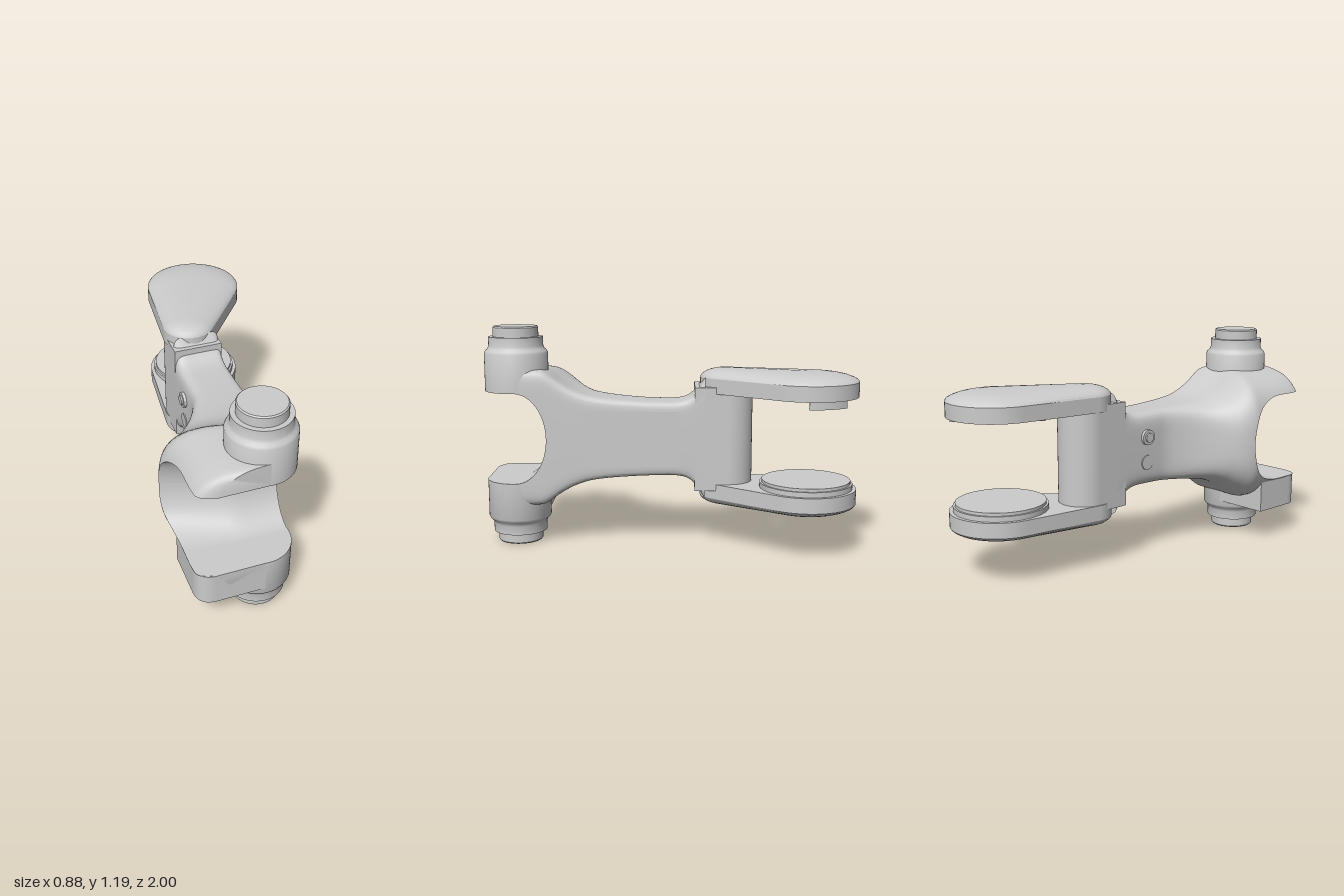
import * as THREE from 'three';
import { toCreasedNormals } from 'three/addons/utils/BufferGeometryUtils.js';

const MID = 0.6; // height of the symmetry plane
const grey = new THREE.MeshStandardMaterial({ color: 0xcccccc });
const BIG = { x: 0.17, z: -0.735, r: 0.265 };
const SMALL = { x: 0, z: -0.315, r: 0.14 };
const PIVOT = { x: -0.035, z: 0.825 };

function part(name, geo, crease = 0.6) {
  const mesh = new THREE.Mesh(toCreasedNormals(geo, crease), grey);
  mesh.name = name;
  return mesh;
}

// Flip a geometry about the mid plane, keeping its faces outward
function mirrored(geo) {
  const g = geo.index ? geo.toNonIndexed() : geo.clone();
  const p = g.attributes.position;
  const v = new THREE.Vector3(), w = new THREE.Vector3();
  for (let i = 0; i < p.count; i += 3) {
    p.setY(i, 2 * MID - p.getY(i));
    v.fromBufferAttribute(p, i + 1);
    w.fromBufferAttribute(p, i + 2);
    p.setXYZ(i + 1, w.x, 2 * MID - w.y, w.z);
    p.setXYZ(i + 2, v.x, 2 * MID - v.y, v.z);
  }
  return g;
}

// Skin a list of closed rings and cap both ends
function loft(rings) {
  const n = rings[0].length, last = (rings.length - 1) * n, idx = [];
  for (let i = 0; i < rings.length - 1; i++) {
    for (let j = 0; j < n; j++) {
      const a = i * n + j, b = i * n + (j + 1) % n;
      idx.push(a, b, a + n, b, b + n, a + n);
    }
  }
  for (let j = 1; j < n - 1; j++) idx.push(0, j + 1, j, last, last + j, last + j + 1);
  const g = new THREE.BufferGeometry();
  g.setAttribute('position', new THREE.Float32BufferAttribute(rings.flat(2), 3));
  g.setIndex(idx);
  return g;
}

// Smooth interpolation through [z, value] pairs
function curve(keys, z) {
  const slope = (i) => {
    const a = keys[Math.max(i - 1, 0)], b = keys[Math.min(i + 1, keys.length - 1)];
    return (b[1] - a[1]) / (b[0] - a[0]);
  };
  let i = 0;
  while (i < keys.length - 2 && z > keys[i + 1][0]) i++;
  const [z0, v0] = keys[i], [z1, v1] = keys[i + 1], d = z1 - z0;
  const t = THREE.MathUtils.clamp((z - z0) / d, 0, 1), t2 = t * t, t3 = t2 * t;
  return v0 * (2 * t3 - 3 * t2 + 1) + v1 * (3 * t2 - 2 * t3)
    + d * (slope(i) * (t3 - 2 * t2 + t) + slope(i + 1) * (t3 - t2));
}

const LEFT_EDGE = [[-0.2, -0.135], [0.08, -0.135], [0.16, -0.142], [0.24, -0.175], [0.32, -0.225],
  [0.4, -0.285], [0.52, -0.375], [0.65, -0.445], [0.75, -0.445], [0.91, -0.445], [0.97, -0.42], [1, -0.32]];
const HALF_HEIGHT = [[-0.2, 0.33], [-0.17, 0.28], [-0.13, 0.23], [-0.08, 0.206], [0, 0.2], [0.2, 0.207],
  [0.4, 0.228], [0.5, 0.26], [0.58, 0.305], [0.66, 0.36], [0.72, 0.37], [1, 0.37]];

// Upper half of the flared arm, with a groove across its front
function armHalf() {
  const { smoothstep, clamp, lerp } = THREE.MathUtils;
  const rows = [];
  for (let i = 0; i < 44; i++) rows.push(lerp(-0.2, 0.65, i / 44));
  for (let i = 0; i < 18; i++) rows.push(0.82 - 0.17 * Math.cos(i / 18 * Math.PI / 2));
  for (let i = 0; i <= 14; i++) rows.push(lerp(0.82, 0.996, i / 14));
  const rings = rows.map((z) => {
    const h = curve(HALF_HEIGHT, z), xl = curve(LEFT_EDGE, z);
    const xm = lerp(0, PIVOT.x, smoothstep(z, 0.1, 0.6));
    const xr = z < PIVOT.z ? 0.135 : PIVOT.x + Math.sqrt(Math.max(0.17 ** 2 - (z - PIVOT.z) ** 2, 1e-5));
    const nl = lerp(6, 3, smoothstep(z, 0.1, 0.55));
    const k = clamp((0.82 - z) / 0.17, 0, 1);
    const floor = z <= 0.65 ? 0 : 0.245 * Math.sqrt(1 - k * k);
    const side = (n, half, m, dir) => { // superelliptic quarter from floor to crown
      const t0 = Math.asin((floor / h) ** (n / 2));
      const pts = [];
      for (let j = 0; j <= m; j++) {
        const t = lerp(t0, Math.PI / 2, j / m);
        const c = Math.max(Math.cos(t), 0) ** (2 / n);
        pts.push([xm + dir * half * c, MID + h * Math.sin(t) ** (2 / n), z]);
      }
      return pts;
    };
    const ring = [...side(10, xr - xm, 16, 1), ...side(nl, xm - xl, 24, -1).reverse().slice(1)];
    const a = ring[0], b = ring[ring.length - 1];
    for (let j = 1; j < 12; j++) ring.push([lerp(b[0], a[0], j / 12), MID + floor, z]);
    // The groove runs slightly backwards towards the flared side
    const w = smoothstep(z, 0.25, 0.6) * (1 - smoothstep(z, 0.68, 0.88));
    return ring.map(([x, y]) => [x, y, z - 0.11 * w * clamp((-0.1 - x) / 0.345, 0, 1)]);
  });
  return loft(rings);
}

// Teardrop outline around two circles, scaled towards their centres
function teardrop(f) {
  const dx = BIG.x - SMALL.x, dz = BIG.z - SMALL.z;
  const dir = Math.atan2(dz, dx), spread = Math.acos((SMALL.r - BIG.r) / Math.hypot(dx, dz));
  const pts = [];
  const arc = (c, from, to) => {
    for (let i = 0; i <= 32; i++) {
      const a = from + (to - from) * i / 32;
      pts.push([c.x + f * c.r * Math.cos(a), c.z + f * c.r * Math.sin(a)]);
    }
  };
  arc(BIG, dir + spread, dir - spread);
  arc(SMALL, dir - spread, dir + spread - 2 * Math.PI);
  return pts;
}

// Extrude a plan shape drawn in (x, -z) upwards from y
function slab(shape, y, depth) {
  const g = new THREE.ExtrudeGeometry(shape, { depth, bevelEnabled: false, curveSegments: 40 });
  return g.rotateX(-Math.PI / 2).translate(0, y, 0);
}

function paddlePlate(recessed) {
  const shape = new THREE.Shape(teardrop(1).map(([x, z]) => new THREE.Vector2(x, -z)));
  if (recessed) shape.holes.push(new THREE.Path().absarc(BIG.x, -BIG.z, 0.24, 0, Math.PI * 2, true));
  return slab(shape, 0.845, 0.08);
}

function paddleDome() {
  const steps = [[1, 0.925], [0.97, 0.935], [0.9, 0.945], [0.78, 0.956], [0.62, 0.965], [0.4, 0.972], [0.02, 0.975]];
  return loft(steps.map(([f, y]) => teardrop(f).map(([x, z]) => [x, y, z])));
}

function disc(r, y0, y1) {
  return new THREE.CylinderGeometry(r, r, y1 - y0, 64).translate(BIG.x, (y0 + y1) / 2, BIG.z);
}

function arcTab(from, to, y) {
  const s = new THREE.Shape();
  s.absarc(BIG.x, -BIG.z, 0.25, from, to, false);
  s.absarc(BIG.x, -BIG.z, 0.2, to, from, true);
  return slab(s, y, 0.86 - y);
}

export function createModel() {
  const model = new THREE.Group();
  const both = (name, geo) => model.add(
    part('upper' + name, geo), part('lower' + name, mirrored(geo)));

  both('Arm', armHalf());

  // Stepped pivot bosses
  const profile = [[0, 0.845], [0.172, 0.845], [0.172, 1.05], [0.166, 1.063], [0.153, 1.074], [0.147, 1.09],
    [0.147, 1.138], [0.122, 1.138], [0.122, 1.188], [0.116, 1.195], [0, 1.195]];
  both('PivotBoss', new THREE.LatheGeometry(profile.map(([r, y]) => new THREE.Vector2(r, y)), 64)
    .translate(PIVOT.x, 0, PIVOT.z));

  // Square-edged plate under the lower jaw
  const jaw = new THREE.Shape();
  jaw.moveTo(-0.398, -0.66).lineTo(-0.398, -0.9).quadraticCurveTo(-0.398, -0.996, -0.3, -0.996);
  jaw.lineTo(PIVOT.x, -0.996).lineTo(PIVOT.x, -0.66);
  model.add(part('lowerJawPlate', slab(jaw, 0.18, 0.174)));

  // Column between the paddles, rounded at the back
  model.add(part('columnBlock', new THREE.BoxGeometry(0.268, 0.56, 0.18).translate(0, MID, -0.235)));
  model.add(part('columnBack', new THREE.CylinderGeometry(0.134, 0.134, 0.56, 48).translate(0, MID, -0.325)));

  // Paddles
  both('PaddleDome', paddleDome());
  model.add(part('upperPaddlePlate', paddlePlate(true)));
  model.add(part('lowerPaddlePlate', mirrored(paddlePlate(false))));
  model.add(part('recessDisc', disc(0.19, 0.86, 0.93)));
  model.add(part('longTab', arcTab(-0.1, 0.78, 0.805)));
  model.add(part('shortTab', arcTab(3.67, 4.6, 0.826)));
  model.add(part('puckBase', disc(0.245, 0.34, 0.382)));
  model.add(part('puckTop', disc(0.234, 0.38, 0.398)));

  // Thin inset panel on the flat side
  model.add(part('sidePanel', new THREE.BoxGeometry(0.01, 0.3, 0.51).translate(0.131, MID, 0.195)));

  // Button and cap on the other side
  const button = (name, r, y, x) => model.add(part(name,
    new THREE.CylinderGeometry(r, r, 0.05, 32).rotateZ(Math.PI / 2).translate(x + 0.025, y, 0.01)));
  button('buttonRing', 0.042, 0.67, -0.15);
  button('buttonCentre', 0.026, 0.67, -0.159);
  button('flatCap', 0.04, 0.53, -0.14);
  return model;
}
